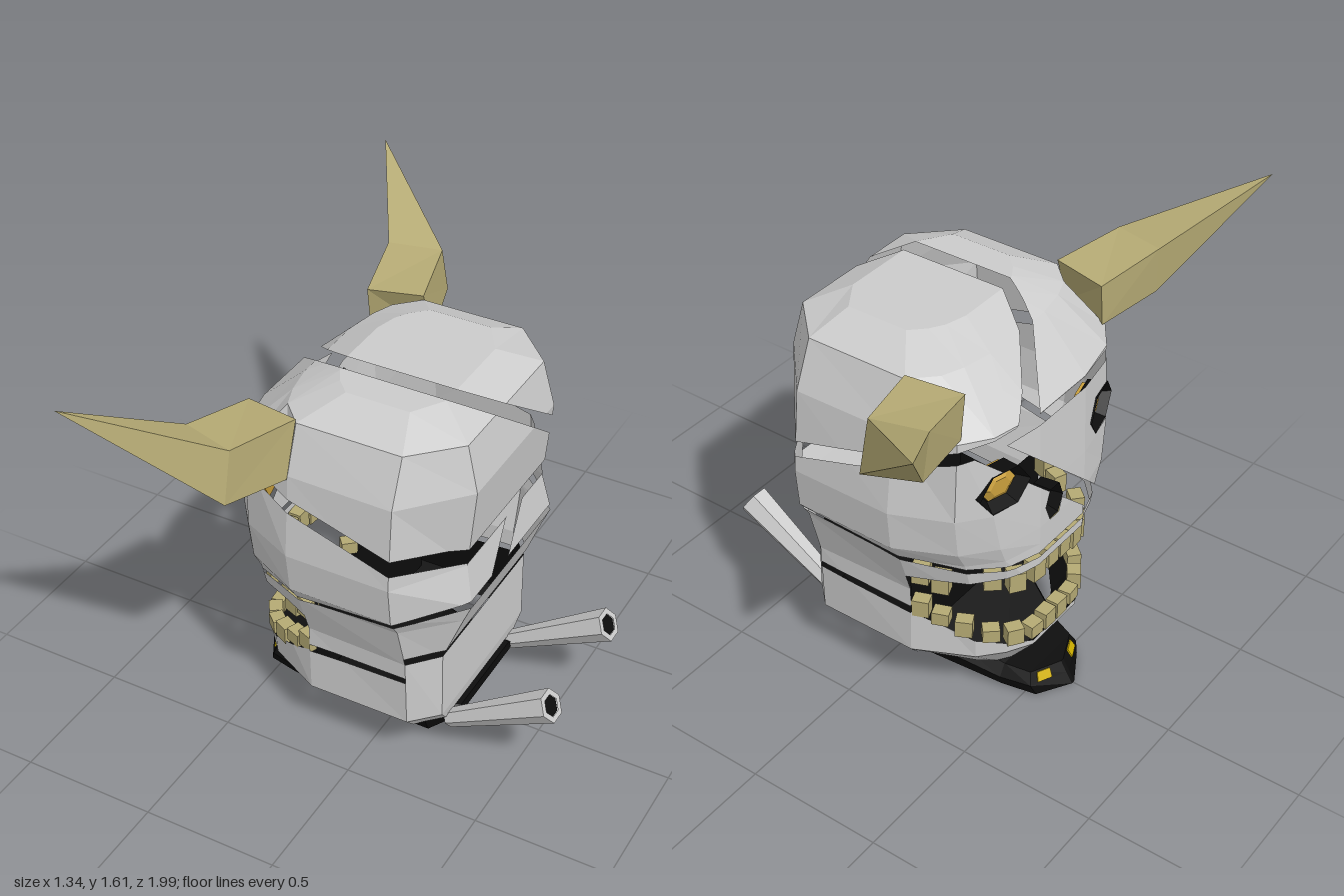
import * as THREE from 'three';

const mat = (color, side = THREE.FrontSide) =>
  new THREE.MeshStandardMaterial({ color, side, flatShading: true });
const bone = mat(0xcccccc, THREE.DoubleSide);
const outerBone = mat(0xcccccc);
const lining = mat(0x0c0c0c, THREE.BackSide);
const ivory = mat(0xb5aa74);
const black = mat(0x0c0c0c, THREE.DoubleSide);
const gold = mat(0xc99f3c);
const yellow = mat(0xd0b000);

const V = (x, y, z) => new THREE.Vector3(x, y, z);

// Triangles of a capped loft through equal-length loops, turned to face outward
function loft(loops) {
  const tris = [], n = loops[0].length;
  for (let i = 0; i < loops.length - 1; i++) {
    for (let j = 0; j < n; j++) {
      const k = (j + 1) % n, a = loops[i], b = loops[i + 1];
      tris.push([a[j], a[k], b[k]], [a[j], b[k], b[j]]);
    }
  }
  const first = loops[0], last = loops[loops.length - 1];
  for (let j = 1; j < n - 1; j++) {
    tris.push([first[0], first[j + 1], first[j]], [last[0], last[j], last[j + 1]]);
  }
  const cross = V(0, 0, 0);
  const volume = tris.reduce((s, [a, b, c]) => s + a.dot(cross.crossVectors(b, c)), 0);
  return volume < 0 ? tris.map(([a, b, c]) => [a, c, b]) : tris;
}

// Keeps the side of plane [nx, ny, nz, d] where n.p + d >= 0
function clip(tris, [nx, ny, nz, d]) {
  const out = [];
  const dist = (p) => nx * p.x + ny * p.y + nz * p.z + d;
  for (const t of tris) {
    const poly = [];
    for (let i = 0; i < 3; i++) {
      const a = t[i], b = t[(i + 1) % 3], da = dist(a), db = dist(b);
      if (da >= 0) poly.push(a);
      if (da * db < 0) poly.push(a.clone().lerp(b, da / (da - db)));
    }
    for (let i = 1; i < poly.length - 1; i++) out.push([poly[0], poly[i], poly[i + 1]]);
  }
  return out;
}
const cut = (tris, ...planes) => planes.reduce(clip, tris);
const flip = (p) => p.map((v) => -v);
const aboveX = (m, c) => [-m, 1, 0, -c]; // y >= m x + c
const aboveZ = (m, c) => [0, 1, -m, -c]; // y >= m z + c
const behind = (x) => [1, 0, 0, -x];

// Removes the convex region bounded by the planes
function carve(tris, planes) {
  const out = [];
  for (const p of planes) {
    out.push(...clip(tris, flip(p)));
    tris = clip(tris, p);
  }
  return out;
}

// Six-sided hole facing along dir, used for carving and for its dark bowl
function hole(centre, dir, w, h) {
  const side = V(0, 1, 0).cross(dir).normalize();
  const ring = (s, push) => Array.from({ length: 6 }, (_, i) => {
    const a = (i / 6) * Math.PI * 2;
    return centre.clone().addScaledVector(side, Math.cos(a) * w * s)
      .addScaledVector(dir, push).add(V(0, Math.sin(a) * h * s, 0));
  });
  const planes = ring(1, 0).map((p, i, all) => {
    const n = all[(i + 1) % 6].clone().sub(p).cross(dir).normalize();
    if (n.dot(centre.clone().sub(p)) < 0) n.negate();
    return [n.x, n.y, n.z, -n.dot(p)];
  });
  planes.push([-1, 0, 0, -0.3]);
  return { planes, ring, bowl: loft([ring(0.9, -0.07), ring(1, 0), ring(0.75, -0.045)]) };
}

// Skull outline: height, then half loop from face to back as x, z pairs
const skullRings = [
  [1.43, -0.2, 0.1, -0.18, 0.18, -0.15, 0.23, -0.1, 0.28, 0.13, 0.28, 0.2, 0.17],
  [1.365, -0.33, 0.15, -0.31, 0.26, -0.28, 0.34, -0.2, 0.42, 0.18, 0.42, 0.33, 0.27],
  [1.2, -0.51, 0.13, -0.47, 0.32, -0.4, 0.42, -0.2, 0.485, 0.18, 0.49, 0.37, 0.28],
  [0.9, -0.525, 0.13, -0.48, 0.33, -0.4, 0.43, -0.2, 0.52, 0.18, 0.52, 0.34, 0.28],
  [0.75, -0.53, 0.13, -0.49, 0.3, -0.4, 0.41, -0.2, 0.505, 0.18, 0.505, 0.37, 0.3],
  [0.68, -0.53, 0.13, -0.49, 0.27, -0.4, 0.37, -0.2, 0.46, 0.18, 0.46, 0.34, 0.3],
  [0.5, -0.53, 0.13, -0.48, 0.23, -0.4, 0.32, -0.2, 0.4, 0.18, 0.41, 0.27, 0.31],
  [0.23, -0.52, 0.13, -0.47, 0.22, -0.4, 0.3, -0.2, 0.4, 0.18, 0.4, 0.27, 0.31],
  [0.1, -0.42, 0.11, -0.39, 0.16, -0.34, 0.2, -0.2, 0.28, 0.18, 0.28, 0.25, 0.2],
];

// Black chin strap along x: x, top, bottom, half width, lean of the top
const strap = [
  [-0.61, 0.08, 0, 0.008, 0.05], [-0.54, 0.085, 0.003, 0.145, 0.03], [-0.42, 0.1, 0.01, 0.18, 0],
  [-0.18, 0.24, 0.1, 0.29, 0], [0, 0.19, 0.1, 0.29, 0], [0.07, 0.19, 0.065, 0.27, 0],
  [0.18, 0.19, 0.065, 0.27, 0], [0.28, 0.18, 0.14, 0.22, 0],
].map(([x, t, b, w, lean]) => {
  const m = (t + b) / 2, half = [V(x + lean, t, w * 0.85), V(x + lean / 2, m, w), V(x, b, w * 0.9)];
  return [...half, ...half.map((p) => V(p.x, p.y, -p.z)).reverse()];
});

export function createModel() {
  const model = new THREE.Group();
  const add = (name, tris, material) => {
    const g = new THREE.BufferGeometry().setFromPoints(tris.flat());
    g.computeVertexNormals();
    const m = new THREE.Mesh(g, material);
    m.name = name;
    model.add(m);
  };

  let skull = loft(skullRings.map(([y, ...h]) => {
    const half = [0, 2, 4, 6, 8, 10].map((i) => V(h[i], y, h[i + 1]));
    return [...half, ...half.map((p) => V(p.x, y, -p.z)).reverse()];
  }));

  // Eye sockets and nose
  for (const s of [1, -1]) {
    const eye = hole(V(-0.49, 0.98, 0.28 * s), V(-0.97, 0, 0.25 * s).normalize(), 0.105, 0.085);
    skull = carve(skull, eye.planes);
    add('eyeSocket', eye.bowl, black);
    add('eye', loft([eye.ring(0.75, -0.085), eye.ring(0.7, -0.04), eye.ring(0.4, -0.025)]), gold);
  }
  const nose = hole(V(-0.528, 0.81, -0.05), V(-1, 0, 0), 0.05, 0.07);
  skull = carve(skull, nose.planes);
  add('nose', nose.bowl, black);

  // Skull split into slabs by slanted gaps
  const cap = cut(skull, aboveX(-0.27, 1.06));
  add('crownRight', cut(cap, aboveZ(0.72, 1.358)), bone);
  add('crownLeft', cut(cap, flip(aboveZ(0.78, 1.301))), bone);
  const band = cut(skull, flip(aboveX(-0.29, 1.007)), aboveX(0.142, 0.718));
  add('faceLeft', cut(band, aboveZ(-0.9, 0.903)), bone);
  add('faceRight', cut(band, flip(aboveZ(-0.9, 0.795))), bone);

  // Upper jaw, cheeks and nape
  const low = cut(skull, flip(aboveX(0.136, 0.696)));
  const front = cut(low, flip(behind(-0.2)));
  const middle = cut(low, behind(-0.2), flip(behind(0.18)));
  const rear = cut(low, behind(0.18));
  add('upperJaw', cut(front, aboveX(-0.05, 0.565)), bone);
  add('cheeks', cut(middle, aboveX(0.03, 0.43)), bone);
  add('nape', cut(rear, aboveX(0, 0.53)), bone);

  // Lower jaw, dark inside
  const jaw = [
    ...cut(front, flip(aboveX(0.47, 0.494)), aboveX(0.58, 0.344)),
    ...cut(middle, flip(aboveX(0.05, 0.405)), aboveX(0, 0.19)),
    ...cut(rear, flip(aboveX(0, 0.5)), aboveX(0, 0.18)),
  ];
  add('lowerJaw', jaw, outerBone);
  add('jawLining', jaw, lining);
  const throat = new THREE.Mesh(new THREE.PlaneGeometry(0.76, 0.4), black);
  throat.name = 'throat';
  throat.rotation.y = -Math.PI / 2;
  throat.position.set(-0.185, 0.42, 0);
  model.add(throat);

  add('chinStrap', loft(strap), black);

  // Teeth along the jaw arch: x, z, turn
  const arch = [[-0.502, 0.035, 0], [-0.5, 0.11, 0.1], [-0.475, 0.185, 0.6],
    [-0.425, 0.25, 0.85], [-0.355, 0.305, 1.1], [-0.285, 0.34, 1.2], [-0.22, 0.365, 1.2]];
  const tooth = (name, x, y, z, turn, h) => {
    const m = new THREE.Mesh(new THREE.BoxGeometry(0.05, h, 0.06), ivory);
    m.name = name;
    m.position.set(x, y, z);
    m.rotation.y = turn;
    model.add(m);
  };

  for (const s of [1, -1]) {
    arch.forEach(([x, z, turn], i) => {
      if (i !== 4) tooth('upperTooth', x, 0.565 - (i % 3) * 0.013, z * s, turn * s, 0.075);
      const rise = 0.285 + (x + 0.5) * 0.47;
      tooth('lowerTooth', x, rise, z * s, turn * s, i % 2 ? 0.05 : 0.065);
    });

    // Horn: square root, bent middle, pointed tip
    const tip = V(-0.67, 1.605, 0.995 * s);
    add('horn', loft([
      [V(-0.4, 1.37, 0.38 * s), V(-0.2, 1.38, 0.42 * s), V(-0.2, 1.19, 0.49 * s), V(-0.4, 1.21, 0.4 * s)],
      [V(-0.46, 1.41, 0.64 * s), V(-0.27, 1.405, 0.69 * s), V(-0.27, 1.225, 0.735 * s), V(-0.45, 1.23, 0.66 * s)],
      [tip, tip, tip, tip],
    ]), ivory);

    // Flared pipe at the back
    const from = V(0.26, 0.15, 0.235 * s), to = V(0.643, 0.38, 0.235 * s);
    const length = from.distanceTo(to);
    const pipe = new THREE.Group();
    pipe.name = 'pipe';
    const tube = new THREE.Mesh(new THREE.CylinderGeometry(0.06, 0.034, length, 6, 1, true), bone);
    const plug = new THREE.Mesh(new THREE.CylinderGeometry(0.04, 0.04, 0.01, 6), black);
    const rim = new THREE.Mesh(
      new THREE.RingGeometry(0.038, 0.06, 6).rotateX(-Math.PI / 2).rotateY(Math.PI / 6), bone);
    plug.position.y = length / 2 - 0.01;
    rim.position.y = length / 2;
    pipe.add(tube, plug, rim);
    pipe.position.copy(from).lerp(to, 0.5);
    pipe.quaternion.setFromUnitVectors(V(0, 1, 0), to.clone().sub(from).normalize());
    model.add(pipe);

    // Yellow mark lying on the slanted tip of the strap
    const [a, b] = strap;
    const spot = (t, v, out) => {
      const p = a[1].clone().lerp(b[1], t).lerp(a[0].clone().lerp(b[0], t), v);
      return p.add(V(-0.8, 0.5, 0.4).multiplyScalar(out)).multiply(V(1, 1, s));
    };
    add('strapMark', loft([-0.004, 0.005].map((out) => [
      spot(0.4, 0.1, out), spot(0.8, 0.1, out), spot(0.8, 0.85, out), spot(0.4, 0.85, out),
    ])), yellow);
  }
  return model;
}
